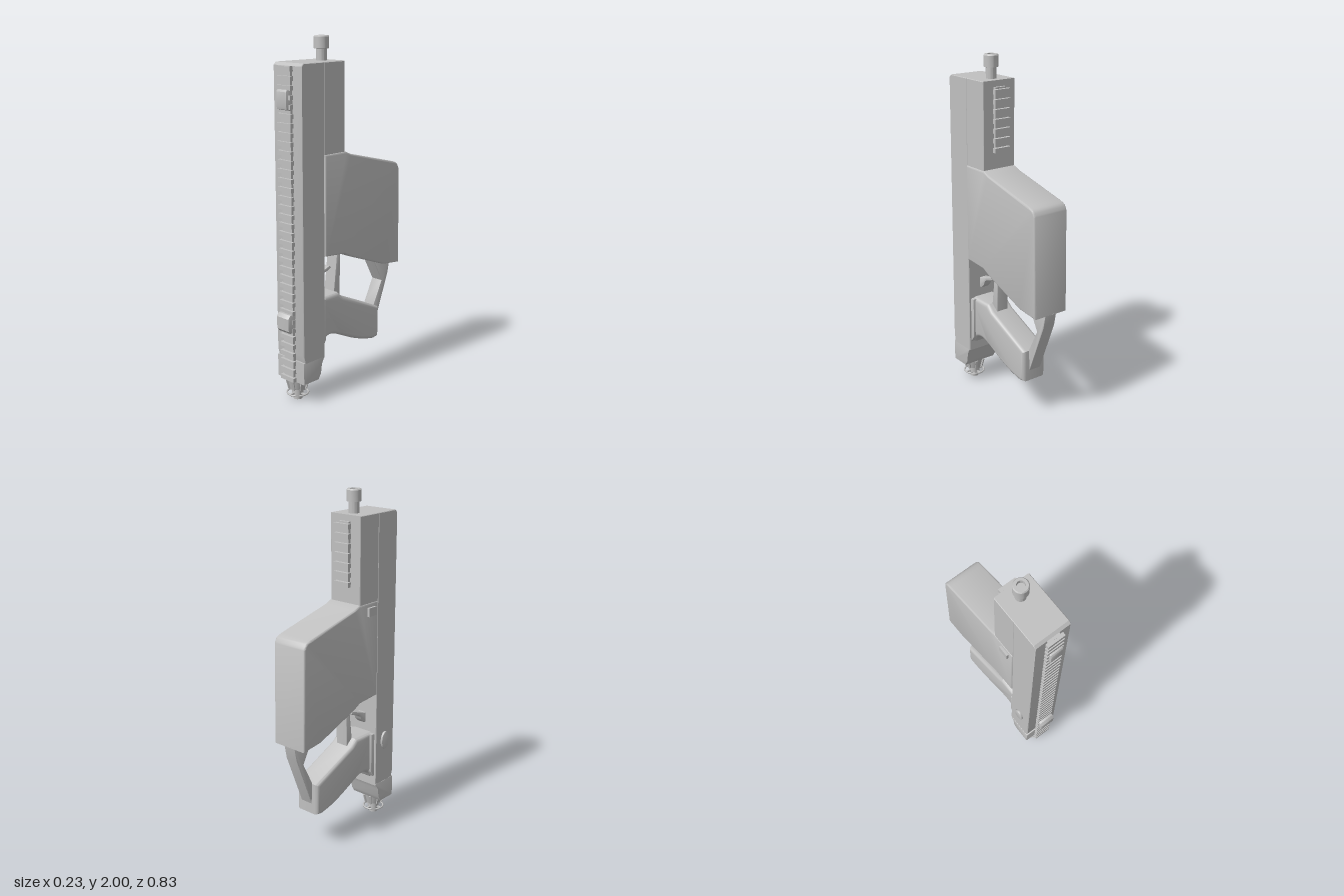
import * as THREE from 'three';
import { toCreasedNormals } from 'three/addons/utils/BufferGeometryUtils.js';

const grey = new THREE.MeshStandardMaterial({ color: 0xc0c0c0 });
grey.name = 'grey';

export function createModel() {
  const model = new THREE.Group();
  const add = (name, geometry, x = 0, y = 0, z = 0) => {
    const mesh = new THREE.Mesh(geometry, grey);
    mesh.name = name;
    mesh.position.set(x, y, z);
    model.add(mesh);
    return mesh;
  };

  // Side profile given as [z, y] points, extruded across x from x0 to x1
  const slab = (name, points, x0, x1, bevel = 0.006, steps = 2) => {
    const shape = new THREE.Shape(points.map(([z, y]) => new THREE.Vector2(-z, y)));
    const g = new THREE.ExtrudeGeometry(shape, {
      depth: x1 - x0 - 2 * bevel, bevelEnabled: bevel > 0, bevelThickness: bevel,
      bevelSize: bevel, bevelOffset: -bevel, bevelSegments: steps,
    });
    g.translate(0, 0, x0 + bevel);
    g.rotateY(Math.PI / 2);
    return add(name, toCreasedNormals(g, 0.6));
  };
  const box = (name, x0, x1, y0, y1, z0, z1) =>
    add(name, new THREE.BoxGeometry(x1 - x0, y1 - y0, z1 - z0), (x0 + x1) / 2, (y0 + y1) / 2, (z0 + z1) / 2);
  // Smooth run of profile points
  const smooth = (points, n) => new THREE.SplineCurve(points.map((p) => new THREE.Vector2(...p)))
    .getPoints(n).map((v) => [v.x, v.y]);

  // Long front housing and the upper rear housing
  slab('frontHousing', [[0.2, 1.87], [0.2, 0.24], [0.35, 0.24], [0.362, 0.29], [0.362, 1.855], [0.347, 1.87]],
    -0.103, 0.108, 0.003, 1);
  slab('rearHousing', [[0.201, 1.87], [0.045, 1.87], [0.045, 1.37], [0.201, 1.37]], -0.103, 0.108, 0.003, 1);

  // Large rear body
  slab('rearBody', [[0.2, 1.385], [0.04, 1.385], [0, 1.367],
    ...smooth([[-0.35, 1.28], [-0.385, 1.265], [-0.402, 1.235]], 6),
    [-0.415, 0.665], [-0.28, 0.68], [0, 0.785], [0.05, 0.812], [0.2, 0.825]], -0.107, 0.115, 0.01, 3);

  // Handle with a curved underside
  slab('handle', [[0.22, 0.58], [0.06, 0.58], [0.02, 0.545], [-0.28, 0.41], [-0.28, 0.225],
    ...smooth([[-0.24, 0.219], [-0.16, 0.236], [-0.06, 0.272], [0.06, 0.328], [0.12, 0.345], [0.17, 0.33], [0.2, 0.29]], 24),
    [0.22, 0.27]], -0.075, 0.082, 0.022, 4);
  slab('handleCollar', [[0.22, 0.575], [0.175, 0.575], [0.175, 0.335], [0.205, 0.29], [0.22, 0.29]], -0.09, 0.095, 0.006);

  // Struts between handle and body
  slab('frontStrut', [[0.035, 0.805], [0.01, 0.795], [0.015, 0.53], [0.062, 0.575]], -0.035, 0.042, 0.004);
  slab('rearStrut', [[-0.27, 0.69], [-0.415, 0.668], [-0.4, 0.59], [-0.285, 0.29], [-0.275, 0.41], [-0.345, 0.55]],
    -0.035, 0.042, 0.004);

  // Curved lever
  slab('lever', [[0.21, 0.695], ...smooth([[0.19, 0.693], [0.14, 0.71], [0.085, 0.73], [0.07, 0.72]], 10),
    ...smooth([[0.09, 0.708], [0.145, 0.688], [0.165, 0.655], [0.19, 0.632]], 10), [0.21, 0.632]], -0.022, 0.028, 0.003);

  // Lower end block
  slab('lowerBlock', [[0.362, 0.25], [0.2, 0.25], [0.222, 0.21], [0.23, 0.155], [0.25, 0.123], [0.362, 0.123]],
    -0.105, 0.108, 0.004);

  // Stepped tip with tapered collar, ribs and a ring on spokes
  const tipZ = 0.31;
  add('tipCollar', toCreasedNormals(new THREE.CylinderGeometry(0.062, 0.046, 0.06, 24), 0.6), 0, 0.095, tipZ);
  for (let i = 0; i < 8; i++) {
    const a = (i + 0.5) * Math.PI / 4;
    const rib = add('collarRib', new THREE.BoxGeometry(0.012, 0.06, 0.018),
      Math.sin(a) * 0.054, 0.095, tipZ + Math.cos(a) * 0.054);
    rib.rotation.set(0.26, a, 0, 'YXZ');
  }
  const tip = new THREE.LatheGeometry([[0, 0], [0.026, 0], [0.026, 0.02], [0.032, 0.028], [0.032, 0.07], [0, 0.07]]
    .map(([r, y]) => new THREE.Vector2(r, y)), 24);
  add('tip', toCreasedNormals(tip, 0.6), 0, 0, tipZ);
  const ring = add('tipRing', new THREE.TorusGeometry(0.06, 0.005, 8, 32), 0, 0.035, tipZ);
  ring.rotation.x = Math.PI / 2;
  box('ringSpokeX', -0.06, 0.06, 0.031, 0.039, tipZ - 0.005, tipZ + 0.005);
  box('ringSpokeZ', -0.005, 0.005, 0.031, 0.039, tipZ - 0.06, tipZ + 0.06);

  // Top knob with a recessed centre
  const knob = new THREE.LatheGeometry([[0.029, 1.86], [0.029, 1.93], [0.041, 1.933], [0.041, 1.994], [0.036, 2],
    [0.022, 2], [0.022, 1.975], [0, 1.975]].map(([r, y]) => new THREE.Vector2(r, y)), 32);
  add('topKnob', toCreasedNormals(knob, 0.6), 0.003, 0, 0.115);

  // Toothed front rail
  box('frontRail', -0.035, 0.038, 0.13, 1.855, 0.355, 0.376);
  const teeth = 36;
  for (let i = 0; i < teeth; i++) {
    const y = 0.142 + i * (1.7 / (teeth - 1));
    box('frontRailTooth', -0.05, 0.053, y - 0.012, y + 0.012, 0.37, 0.391);
  }

  // Toothed rear rail
  box('rearRail', -0.032, 0.039, 1.475, 1.835, 0.028, 0.05);
  for (let i = 0; i < 7; i++) {
    const y = 1.495 + i * 0.053;
    box('rearRailTooth', -0.048, 0.055, y - 0.013, y + 0.013, 0.008, 0.031);
  }

  // Blocks clipped on the front rail
  slab('upperRailBlock', [[0.365, 1.74], [0.365, 1.625], [0.402, 1.635], [0.406, 1.65], [0.406, 1.725], [0.4, 1.735]],
    -0.036, 0.039, 0.003);
  slab('lowerRailBlock', [[0.365, 0.525], [0.365, 0.415], [0.405, 0.42], [0.418, 0.435], [0.42, 0.505], [0.405, 0.525]],
    -0.046, 0.049, 0.005);

  // Catches on the right side
  box('upperCatch', -0.12, -0.1, 1.31, 1.36, 0.105, 0.17);
  const oval = [];
  for (let i = 0; i < 24; i++) {
    const a = i * Math.PI / 12;
    oval.push([0.277 + Math.cos(a) * 0.033, 0.515 + Math.sin(a) * 0.055]);
  }
  slab('lowerCatch', oval, -0.115, -0.098, 0.004);

  return model;
}
